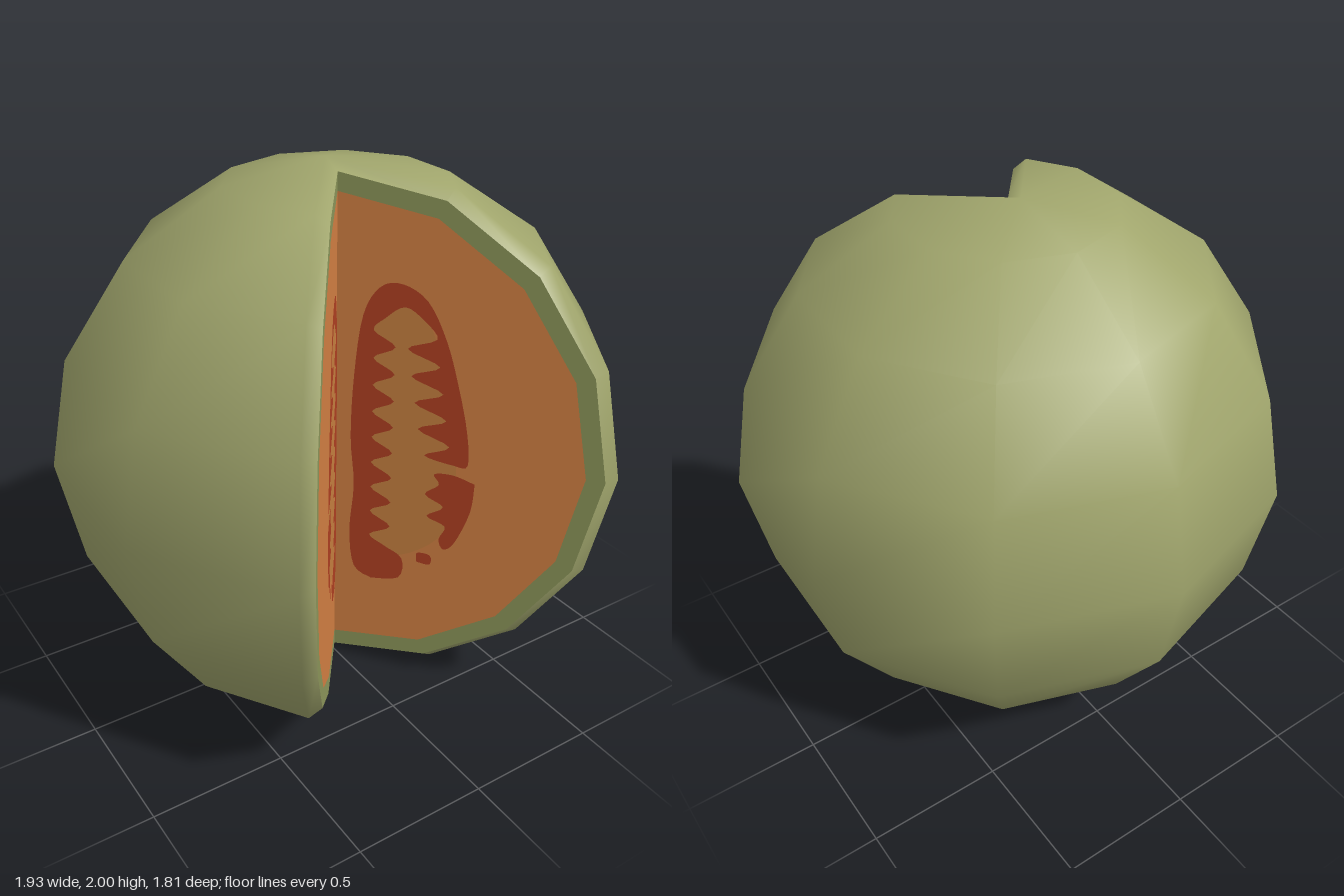
import * as THREE from 'three';
import { mergeVertices } from 'three/addons/utils/BufferGeometryUtils.js';

const STEP = Math.PI / 5;      // ten segments around, two of them cut away
const CUT_Z = 0.1;             // vertical line where the two cut faces meet
const BEVEL = 0.045;           // setback of the skin behind each cut face

// Half profile from top to bottom: radius and height
const PROFILE = [
  [0, 2], [0.387, 1.94], [0.714, 1.72], [0.933, 1.39], [1.01, 1],
  [0.933, 0.61], [0.714, 0.28], [0.387, 0.06], [0, 0],
];
const scaled = (k) => PROFILE.map(([r, y]) => [r * k, 1 + (y - 1) * k]);

const material = (name, color, extra) => {
  const m = new THREE.MeshStandardMaterial({ color, ...extra });
  m.name = name;
  return m;
};

const mesh = (name, geometry, mat) => {
  const m = new THREE.Mesh(geometry, mat);
  m.name = name;
  return m;
};

// Skin with the front wedge missing and a soft bevel turning into the cut
function skinGeometry() {
  const poleZ = CUT_Z - BEVEL / Math.sin(STEP);
  const columns = [];
  const addColumn = (angle, profile, shift, side) => {
    columns.push(profile.map(([r, y]) => [
      r * Math.sin(angle) + shift * side * Math.cos(STEP),
      y,
      CUT_Z + r * Math.cos(angle) - shift * Math.sin(STEP),
    ]));
  };
  addColumn(STEP, scaled(0.965), 0, 1);
  for (let k = 1; k <= 9; k++) {
    const edge = k === 1 || k === 9;
    addColumn(k * STEP, PROFILE, edge ? BEVEL : 0, k === 1 ? 1 : -1);
    const column = columns[columns.length - 1];
    for (const pole of [column[0], column[column.length - 1]]) {
      pole[0] = 0;
      pole[2] = poleZ;
    }
  }
  addColumn(9 * STEP, scaled(0.965), 0, -1);

  const rows = PROFILE.length;
  const index = [];
  for (let c = 0; c < columns.length - 1; c++) {
    for (let r = 0; r < rows - 1; r++) {
      const a = c * rows + r, b = a + rows;
      index.push(a, a + 1, b, b, a + 1, b + 1);
    }
  }
  const geometry = new THREE.BufferGeometry();
  geometry.setAttribute('position', new THREE.Float32BufferAttribute(columns.flat(2), 3));
  geometry.setIndex(index);
  const merged = mergeVertices(geometry, 1e-4);
  merged.computeVertexNormals();
  return merged;
}

// Flat face from points [distance from the core, height]
function plate(points, side, smooth = false) {
  let pts = points.map(([u, y]) => new THREE.Vector2(u * side, y));
  if (smooth) {
    const curve = new THREE.SplineCurve([...pts, pts[0]]);
    pts = curve.getPoints(pts.length * 4).slice(0, -1);
  }
  return new THREE.ShapeGeometry(new THREE.Shape(pts));
}

// Outer outline of the seed band, from the bottom of the core side over the top
const SEED_OUTER = [
  [0.15, 0.4], [0.08, 0.44], [0.06, 0.6], [0.075, 0.8], [0.06, 1.0], [0.07, 1.25],
  [0.1, 1.48], [0.16, 1.59], [0.24, 1.61], [0.33, 1.56], [0.4, 1.43],
  [0.45, 1.27], [0.49, 1.1], [0.5, 0.97],
];
const SEED_LOWER = [
  [0.53, 0.9], [0.52, 0.78], [0.47, 0.64], [0.43, 0.6], [0.41, 0.64], [0.43, 0.7],
  [0.36, 0.73], [0.42, 0.78], [0.35, 0.82], [0.4, 0.87], [0.38, 0.91], [0.45, 0.92],
];

// Ragged inner edge of the seed band
function seedBand() {
  const points = [...SEED_OUTER, [0.45, 0.96], [0.34, 0.98]];
  for (let i = 0; i < 9; i++) {
    const y = 1.03 + i * 0.05;
    points.push([(i % 2 ? 0.32 : 0.43) - i * 0.008, y]);
  }
  points.push([0.32, 1.49], [0.25, 1.53], [0.18, 1.48]);
  for (let i = 0; i < 17; i++) {
    points.push([i % 2 ? 0.22 : 0.14, 1.43 - i * 0.052]);
  }
  points.push([0.2, 0.56], [0.27, 0.52], [0.26, 0.43]);
  return points;
}

export function createModel() {
  const skinMat = material('skin green', 0xa0a56c, { side: THREE.DoubleSide });
  const rindMat = material('rind green', 0x8d975b);
  const fleshMat = material('flesh orange', 0xd58143);
  const bedMat = material('seed bed', 0xc98140);
  const seedMat = material('seed red', 0xb24022);

  const model = new THREE.Group();
  model.name = 'cutMelon';
  model.add(mesh('skin', skinGeometry(), skinMat));

  const inner = scaled(0.9);
  const rind = [...scaled(0.965), ...[...inner].reverse()];
  const bed = [
    [0.15, 0.5], [0.1, 0.7], [0.1, 1.25], [0.15, 1.5], [0.24, 1.57],
    [0.33, 1.5], [0.43, 1.2], [0.46, 0.9], [0.43, 0.68], [0.3, 0.55],
  ];
  const fleck = [[0.33, 0.52], [0.38, 0.52], [0.38, 0.56], [0.33, 0.56]];

  // Both faces of the wedge cut
  for (const side of [1, -1]) {
    const face = new THREE.Group();
    face.name = side > 0 ? 'leftCutFace' : 'rightCutFace';
    face.position.z = CUT_Z;
    face.rotation.y = -side * (Math.PI / 2 - STEP);
    const add = (name, points, mat, lift, smooth) => {
      const m = mesh(name, plate(points, side, smooth), mat);
      m.position.z = lift;
      face.add(m);
    };
    add('rind', rind, rindMat, 0);
    add('flesh', inner, fleshMat, 0);
    add('seedBed', bed, bedMat, 0.003, true);
    add('seedBand', seedBand(), seedMat, 0.006, true);
    add('lowerSeeds', SEED_LOWER, seedMat, 0.006, true);
    add('seedFleck', fleck, seedMat, 0.006, true);
    model.add(face);
  }

  model.rotation.y = -0.02;
  return model;
}
